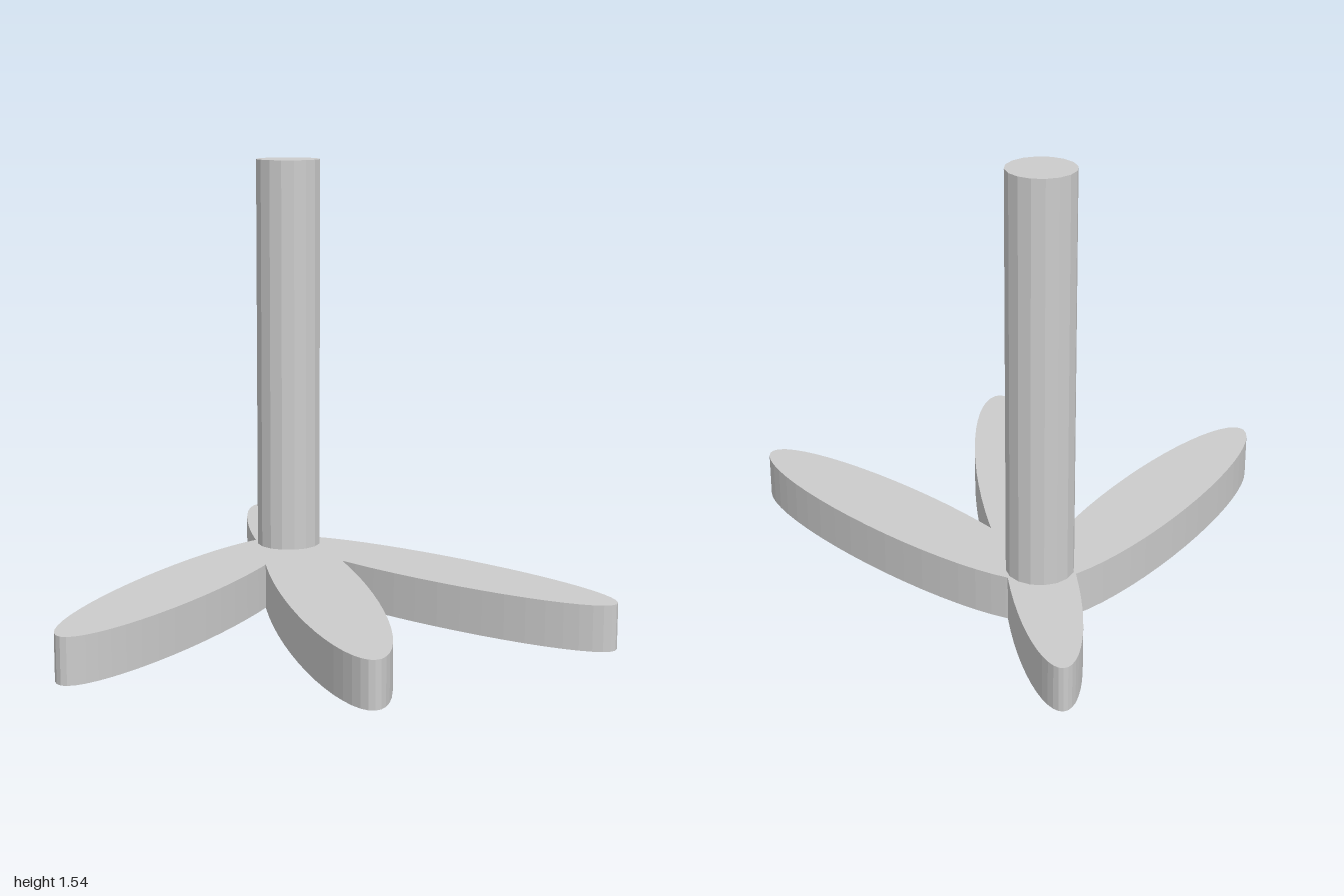
import * as THREE from 'three';

const HEIGHT = 0.155, POST_Z = -0.39, SEGMENTS = 48;

// Foot petals: centre, half length, half width, heading measured from +x towards +z
const turn = THREE.MathUtils.degToRad(50);
const petals = [
  { x: 0, z: 0.23, a: 0.77, b: 0.15, t: Math.PI / 2 },
  { x: 0, z: -0.45, a: 0.55, b: 0.113, t: -Math.PI / 2 },
  { x: 0.447, z: 0.068, a: 0.69, b: 0.15, t: turn },
  { x: -0.447, z: 0.068, a: 0.69, b: 0.15, t: Math.PI - turn },
];

// Position in a petal's own frame, scaled so that its rim is the unit circle
function toLocal(p, x, z) {
  const c = Math.cos(p.t), s = Math.sin(p.t);
  return [(x * c + z * s) / p.a, (z * c - x * s) / p.b];
}

// Distance from the post axis to a petal's rim along an angle
function reach(p, angle) {
  const [ou, ov] = toLocal(p, -p.x, POST_Z - p.z);
  const [du, dv] = toLocal(p, Math.cos(angle), Math.sin(angle));
  const A = du * du + dv * dv, B = ou * du + ov * dv, C = ou * ou + ov * ov - 1;
  return (-B + Math.sqrt(B * B - A * C)) / A;
}

// Joined outline of all petals, sorted around the post
function baseOutline() {
  const rim = [];
  for (const p of petals) {
    for (let i = 0; i < SEGMENTS; i++) {
      const k = (i / SEGMENTS) * Math.PI * 2;
      const u = p.a * Math.cos(k), v = p.b * Math.sin(k);
      const x = p.x + u * Math.cos(p.t) - v * Math.sin(p.t);
      const z = p.z + u * Math.sin(p.t) + v * Math.cos(p.t);
      const angle = Math.atan2(z - POST_Z, x);
      const r = Math.hypot(x, z - POST_Z);
      if (petals.every(q => q === p || reach(q, angle) < r)) rim.push({ angle, r, p });
    }
  }
  rim.sort((m, n) => m.angle - n.angle);
  const points = [];
  const add = (angle, r) =>
    points.push(new THREE.Vector2(r * Math.cos(angle), -(POST_Z + r * Math.sin(angle))));
  rim.forEach((m, i) => {
    add(m.angle, m.r);
    const n = rim[(i + 1) % rim.length];
    if (m.p === n.p) return;
    // Sharp notch where two petals cross
    let lo = m.angle, hi = n.angle < lo ? n.angle + Math.PI * 2 : n.angle;
    for (let j = 0; j < 30; j++) {
      const mid = (lo + hi) / 2;
      if (reach(m.p, mid) > reach(n.p, mid)) lo = mid; else hi = mid;
    }
    add(lo, reach(m.p, lo));
  });
  return points.reverse();
}

export function createModel() {
  const group = new THREE.Group();
  const material = new THREE.MeshStandardMaterial({ color: 0xcccccc, flatShading: true });

  // Flat four-petal foot
  const baseGeometry = new THREE.ExtrudeGeometry(new THREE.Shape(baseOutline()), {
    depth: HEIGHT, bevelEnabled: false,
  });
  baseGeometry.rotateX(-Math.PI / 2);
  const base = new THREE.Mesh(baseGeometry, material);
  base.name = 'petalBase';
  group.add(base);

  // Upright post
  const postHeight = 1.54 - HEIGHT;
  const post = new THREE.Mesh(new THREE.CylinderGeometry(0.114, 0.114, postHeight, 16), material);
  post.name = 'post';
  post.position.set(0, HEIGHT + postHeight / 2, POST_Z);
  group.add(post);

  return group;
}
